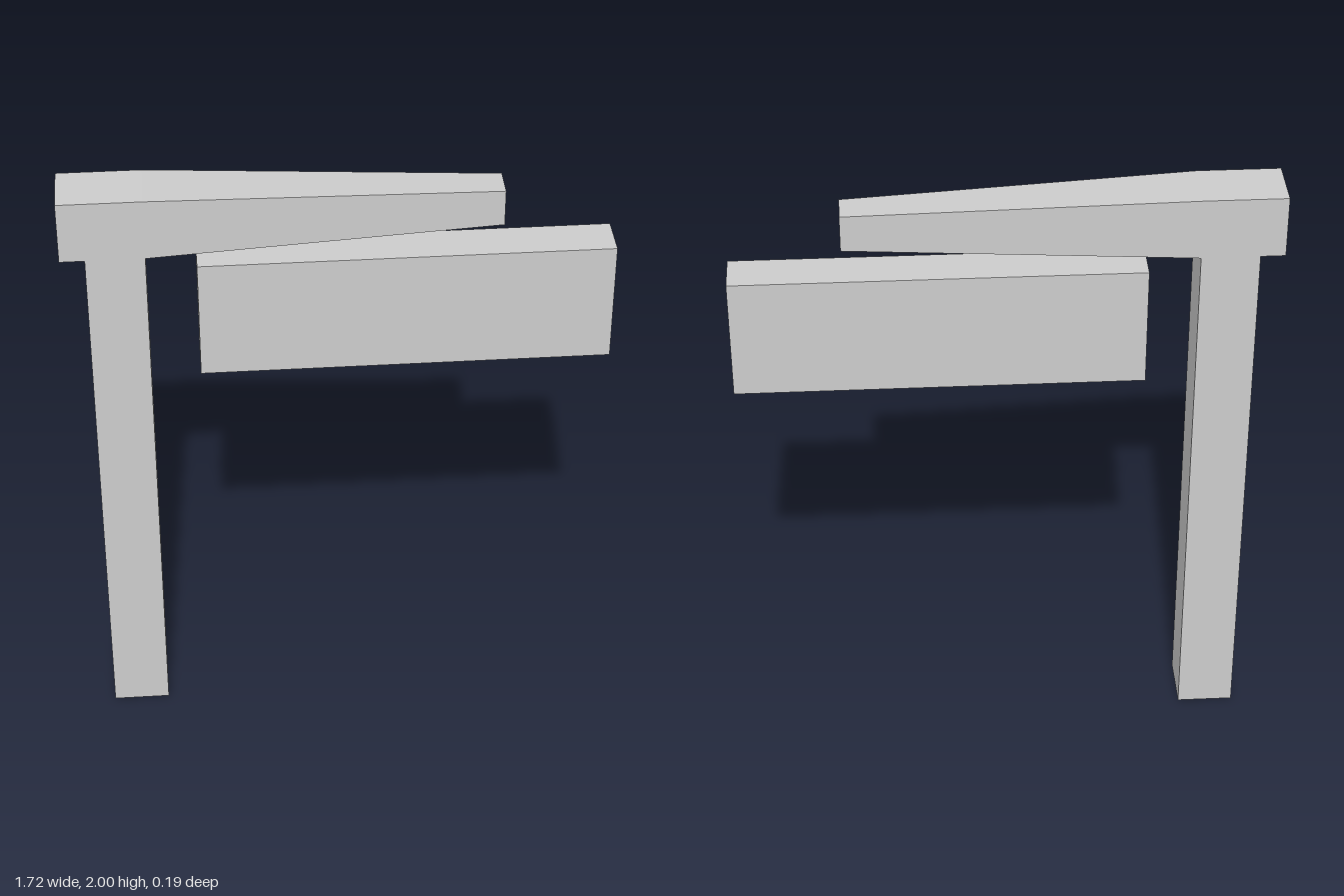
import * as THREE from 'three';

export function createModel() {
  const group = new THREE.Group();
  group.name = 'hangingSignPost';
  const grey = new THREE.MeshStandardMaterial({ color: 0xcccccc });
  grey.name = 'light grey';

  const add = (name, geometry) => {
    const mesh = new THREE.Mesh(geometry, grey);
    mesh.name = name;
    group.add(mesh);
  };

  // Box given by its lower and upper corners
  const block = (x0, x1, y0, y1, z0, z1) =>
    new THREE.BoxGeometry(x1 - x0, y1 - y0, z1 - z0)
      .translate((x0 + x1) / 2, (y0 + y1) / 2, (z0 + z1) / 2);

  // Upright post
  add('post', block(-0.784, -0.6, 0, 1.798, -0.093, 0.093));

  // Arm: straight over the post, then tapering to the tip
  const stations = [
    { x: -0.862, halfHeight: 0.101, halfDepth: 0.093 },
    { x: -0.6, halfHeight: 0.101, halfDepth: 0.093 },
    { x: 0.504, halfHeight: 0.06, halfDepth: 0.053 },
  ];
  const arm = new THREE.BoxGeometry(2, 2, 2, 2, 1, 1).toNonIndexed();
  const p = arm.attributes.position;
  for (let i = 0; i < p.count; i++) {
    const s = stations[Math.round(p.getX(i)) + 1];
    p.setXYZ(i, s.x, 1.899 + p.getY(i) * s.halfHeight, p.getZ(i) * s.halfDepth);
  }
  arm.computeVertexNormals();
  add('arm', arm);

  // Sign board floating below the arm
  add('signBoard', block(-0.444, 0.858, 1.342, 1.743, -0.079, 0.067));

  return group;
}
